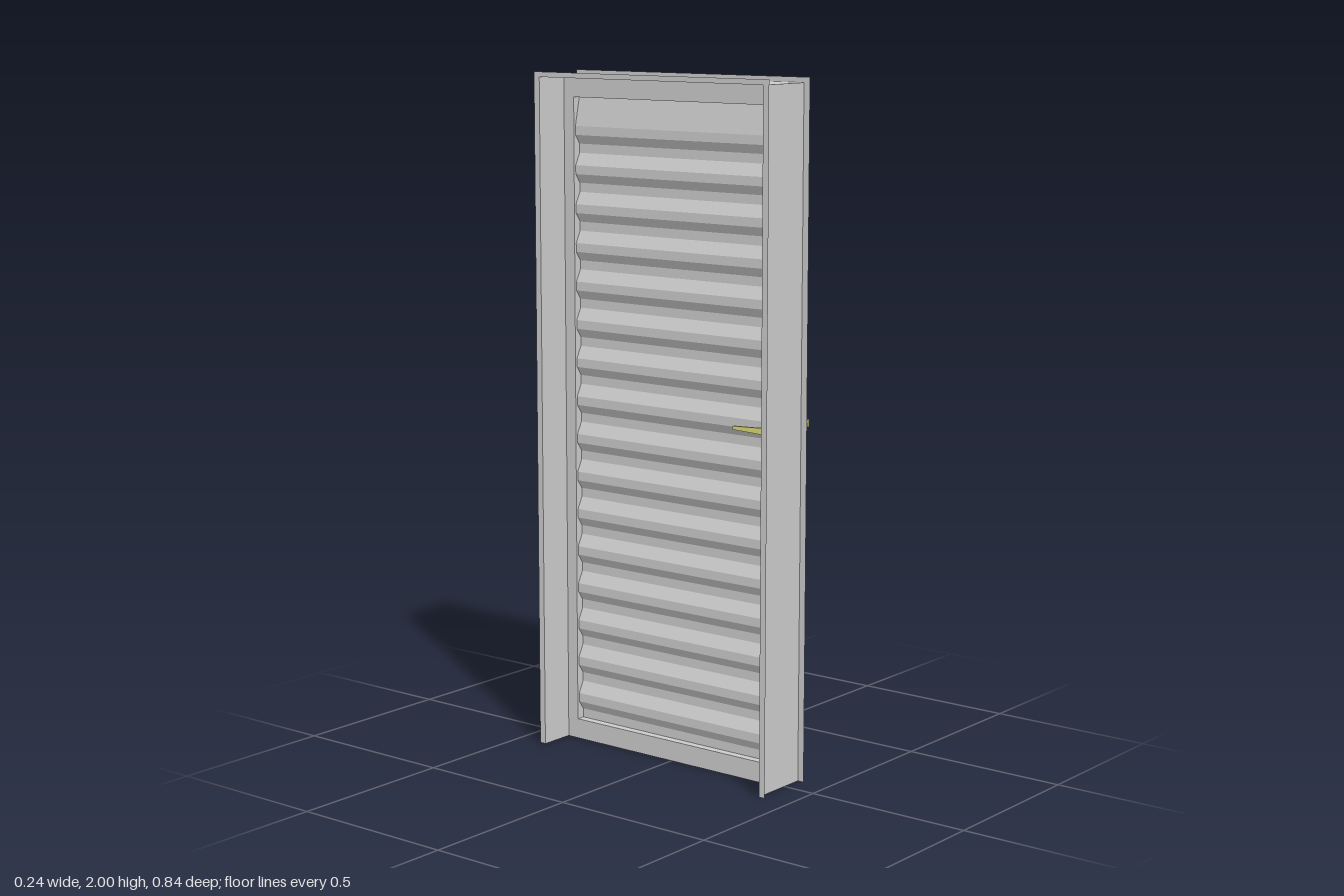
import * as THREE from 'three';

const grey = new THREE.MeshStandardMaterial({ color: 0xcccccc, side: THREE.DoubleSide });
const brass = new THREE.MeshStandardMaterial({ color: 0xdcdc78 });

const FRONT = 0.065, BACK = -0.121;     // jamb extent in x
const LEAF_BACK = -0.015;               // inner face of the door leaf
const HALF = 0.4, TOP = 1.985;          // jamb half width and height
const RIM = 0.42, RIM_TOP = 2;          // outer edge of the flanges
const OPEN = 0.362, OPEN_LOW = 0.06, OPEN_HIGH = 1.925;

function add(parent, name, geometry, material) {
  const mesh = new THREE.Mesh(geometry, material);
  mesh.name = name;
  parent.add(mesh);
  return mesh;
}

function polygon(points) {
  return new THREE.Shape(points.map(([x, y]) => new THREE.Vector2(x, y)));
}

// Rectangle standing on y = 0 with the panel opening cut out
function ringShape(w, h) {
  const ring = polygon([[-w, 0], [w, 0], [w, h], [-w, h]]);
  ring.holes.push(polygon([[-OPEN, OPEN_LOW], [-OPEN, OPEN_HIGH], [OPEN, OPEN_HIGH], [OPEN, OPEN_LOW]]));
  return ring;
}

// Upright rounded rectangle centred on the origin
function roundedRect(w, h, r) {
  const s = new THREE.Shape();
  s.absarc(w / 2 - r, h / 2 - r, r, 0, Math.PI / 2);
  s.absarc(-w / 2 + r, h / 2 - r, r, Math.PI / 2, Math.PI);
  s.absarc(-w / 2 + r, -h / 2 + r, r, Math.PI, Math.PI * 1.5);
  s.absarc(w / 2 - r, -h / 2 + r, r, Math.PI * 1.5, Math.PI * 2);
  s.closePath();
  return s;
}

// Extrude a shape drawn in (-z, y) along +x
function extrudeX(shape, depth, x) {
  return new THREE.ExtrudeGeometry(shape, { depth, bevelEnabled: false, curveSegments: 8 })
    .rotateY(Math.PI / 2).translate(x, 0, 0);
}

// Sheet-metal jamb: two sides, a head, and an outward flange at the back edge
function buildJamb() {
  const jamb = new THREE.Group();
  jamb.name = 'jamb';
  const depth = FRONT - BACK, mid = (FRONT + BACK) / 2;
  for (const s of [1, -1]) {
    add(jamb, 'jambSide', new THREE.PlaneGeometry(depth, TOP), grey).position.set(mid, TOP / 2, s * HALF);
  }
  add(jamb, 'jambHead', new THREE.PlaneGeometry(depth, HALF * 2).rotateX(-Math.PI / 2), grey).position.set(mid, TOP, 0);
  const flange = polygon([[-RIM, 0], [-HALF, 0], [-HALF, TOP], [HALF, TOP], [HALF, 0], [RIM, 0], [RIM, RIM_TOP], [-RIM, RIM_TOP]]);
  add(jamb, 'backFlange', new THREE.ShapeGeometry(flange).rotateY(Math.PI / 2), grey).position.x = BACK;
  return jamb;
}

// Corrugated infill: a shallow trapezoid wave swept across the opening
function corrugatedPanel(trough, crest) {
  const pitch = 0.1135, count = 16;
  const profile = [[trough, OPEN_LOW]];
  for (let i = 0; i < count; i++) {
    const y = 0.087 + i * pitch;       // foot of the down-facing slope
    profile.push([trough, y], [crest, y + 0.026], [crest, y + 0.052]);
    if (i < count - 1) profile.push([trough, y + 0.087]);
  }
  profile.push([trough, OPEN_HIGH]);
  const pos = [], index = [];
  profile.forEach(([x, y], i) => {
    pos.push(x, y, OPEN, x, y, -OPEN);
    const a = i * 2;
    if (i < profile.length - 1) index.push(a, a + 1, a + 3, a, a + 3, a + 2);
  });
  const g = new THREE.BufferGeometry();
  g.setAttribute('position', new THREE.Float32BufferAttribute(pos, 3));
  g.setIndex(index);
  const flat = g.toNonIndexed();
  flat.computeVertexNormals();
  return flat;
}

// Door leaf: frame with a broad front face and a corrugated skin on each side
function buildLeaf() {
  const leaf = new THREE.Group();
  leaf.name = 'doorLeaf';
  const gap = 0.001;
  add(leaf, 'frontFace', new THREE.ShapeGeometry(ringShape(RIM, RIM_TOP)).rotateY(Math.PI / 2), grey).position.x = FRONT;
  add(leaf, 'leafFrame', extrudeX(ringShape(HALF - gap, TOP - gap), FRONT - LEAF_BACK - gap, LEAF_BACK), grey);
  add(leaf, 'frontPanel', corrugatedPanel(FRONT - 0.025, FRONT - 0.007), grey);
  add(leaf, 'backPanel', corrugatedPanel(LEAF_BACK + 0.025, LEAF_BACK + 0.007), grey);
  return leaf;
}

// Handle with its back plate at x = 0, pointing to +x
function buildHandle() {
  const handle = new THREE.Group();
  handle.name = 'handle';
  const z = 0.381, y = 1.033;
  add(handle, 'backPlate', extrudeX(roundedRect(0.037, 0.222, 0.016), 0.01, 0), brass).position.set(0, 0.995, z);
  add(handle, 'lockCylinder', extrudeX(roundedRect(0.012, 0.028, 0.0058), 0.017, 0), brass).position.set(0, 0.94, z);
  add(handle, 'collar', extrudeX(roundedRect(0.016, 0.026, 0.007), 0.018, 0), brass).position.set(0, y, z);
  add(handle, 'neck', extrudeX(roundedRect(0.012, 0.022, 0.005), 0.038, 0.01), brass).position.set(0, y, z);
  // Lever tapers in height towards its tip
  const lever = polygon([[-0.007, -0.011], [0.03, -0.009], [0.118, -0.006], [0.118, 0.004], [0.03, 0.008], [-0.007, 0.011]]);
  add(handle, 'lever', extrudeX(lever, 0.008, 0.048), brass).position.set(0, y, z);
  return handle;
}

export function createModel() {
  const model = new THREE.Group();
  model.name = 'door';
  model.add(buildJamb(), buildLeaf());

  const outer = buildHandle();
  outer.name = 'outerHandle';
  outer.position.x = FRONT;
  const inner = buildHandle();
  inner.name = 'innerHandle';
  inner.position.x = LEAF_BACK;
  inner.scale.x = -1;
  model.add(outer, inner);
  return model;
}
